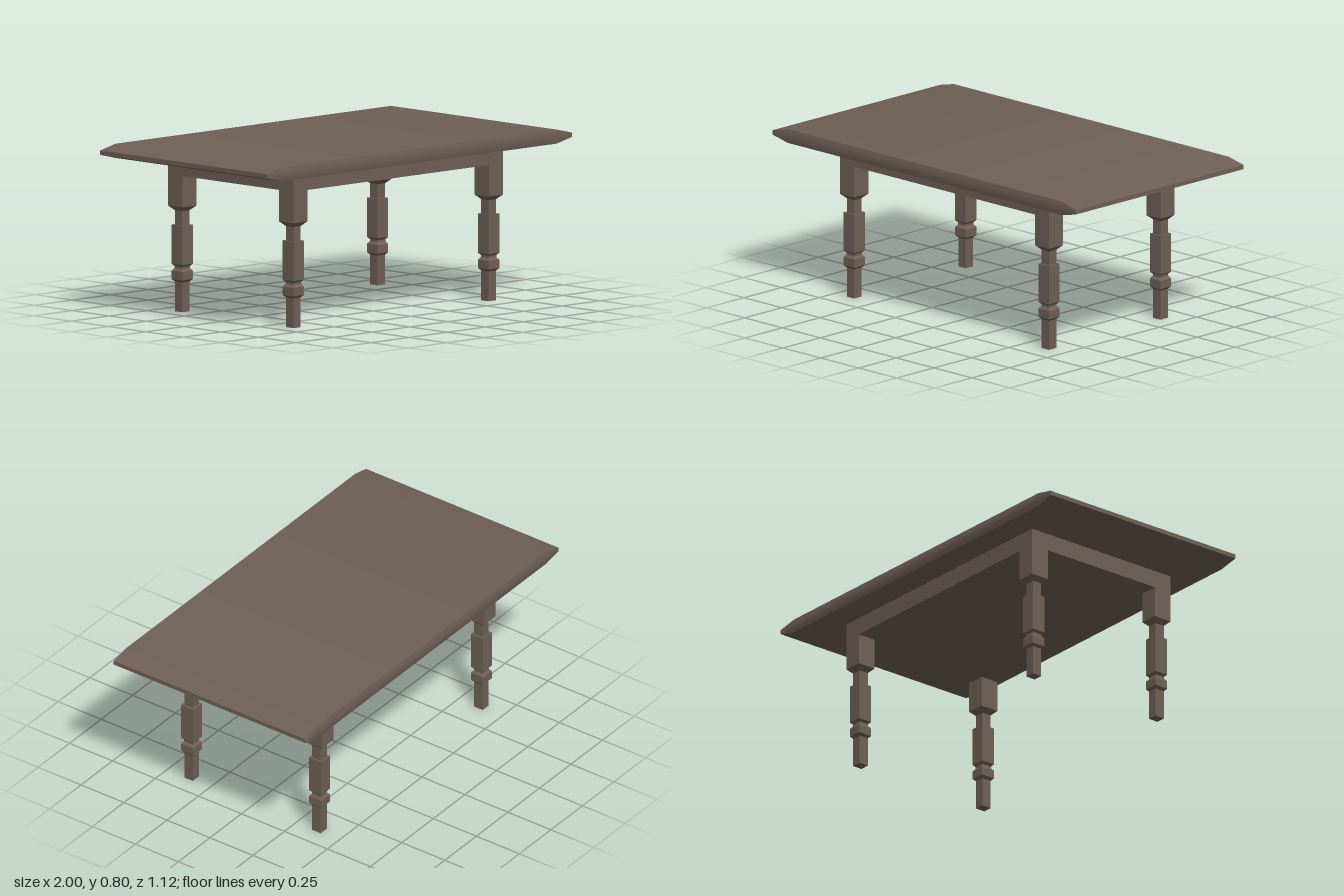
import * as THREE from 'three';
import { toCreasedNormals } from 'three/addons/utils/BufferGeometryUtils.js';

// Closed solid through rectangular sections [y, halfX, halfZ], listed from bottom to top
function loftRects(sections) {
  const pos = [], index = [];
  for (const [y, hx, hz] of sections) {
    pos.push(-hx, y, hz, hx, y, hz, hx, y, -hz, -hx, y, -hz);
  }
  for (let s = 0; s < sections.length - 1; s++) {
    for (let i = 0; i < 4; i++) {
      const a = s * 4 + i, b = s * 4 + (i + 1) % 4;
      index.push(a, b, b + 4, a, b + 4, a + 4);
    }
  }
  const t = (sections.length - 1) * 4;
  index.push(0, 2, 1, 0, 3, 2, t, t + 1, t + 2, t, t + 2, t + 3);
  const geo = new THREE.BufferGeometry();
  geo.setAttribute('position', new THREE.Float32BufferAttribute(pos, 3));
  geo.setIndex(index);
  return toCreasedNormals(geo, 0.6);
}

export function createModel() {
  const group = new THREE.Group();
  const wood = new THREE.MeshStandardMaterial({ color: 0x6f6056 });
  const add = (name, geo, x = 0, y = 0, z = 0) => {
    const mesh = new THREE.Mesh(geo, wood);
    mesh.name = name;
    mesh.position.set(x, y, z);
    group.add(mesh);
  };

  // Tabletop with long bevels at the ends and slight ones along the sides
  add('tabletop', loftRects([
    [0.734, 0.905, 0.555], [0.757, 1, 0.56], [0.778, 1, 0.56], [0.801, 0.905, 0.555],
  ]));

  // Solid apron under the top, flush with the outside of the legs
  add('apron', new THREE.BoxGeometry(1.376, 0.084, 0.84), -0.004, 0.692, 0);

  // Square legs with stepped and tapered stages
  const profile = [
    [0, 0.025], [0.141, 0.025], [0.153, 0.036], [0.193, 0.036], [0.205, 0.026],
    [0.215, 0.026], [0.225, 0.036], [0.411, 0.036], [0.411, 0.025],
    [0.479, 0.025], [0.501, 0.048], [0.734, 0.048],
  ];
  const leg = loftRects(profile.map(([y, h]) => [y, h * 0.96, h]));
  for (const sx of [-1, 1]) {
    for (const sz of [-1, 1]) {
      const name = (sz > 0 ? 'front' : 'back') + (sx > 0 ? 'Left' : 'Right') + 'Leg';
      add(name, leg, sx * 0.642 - 0.004, 0, sz * 0.372);
    }
  }
  return group;
}
